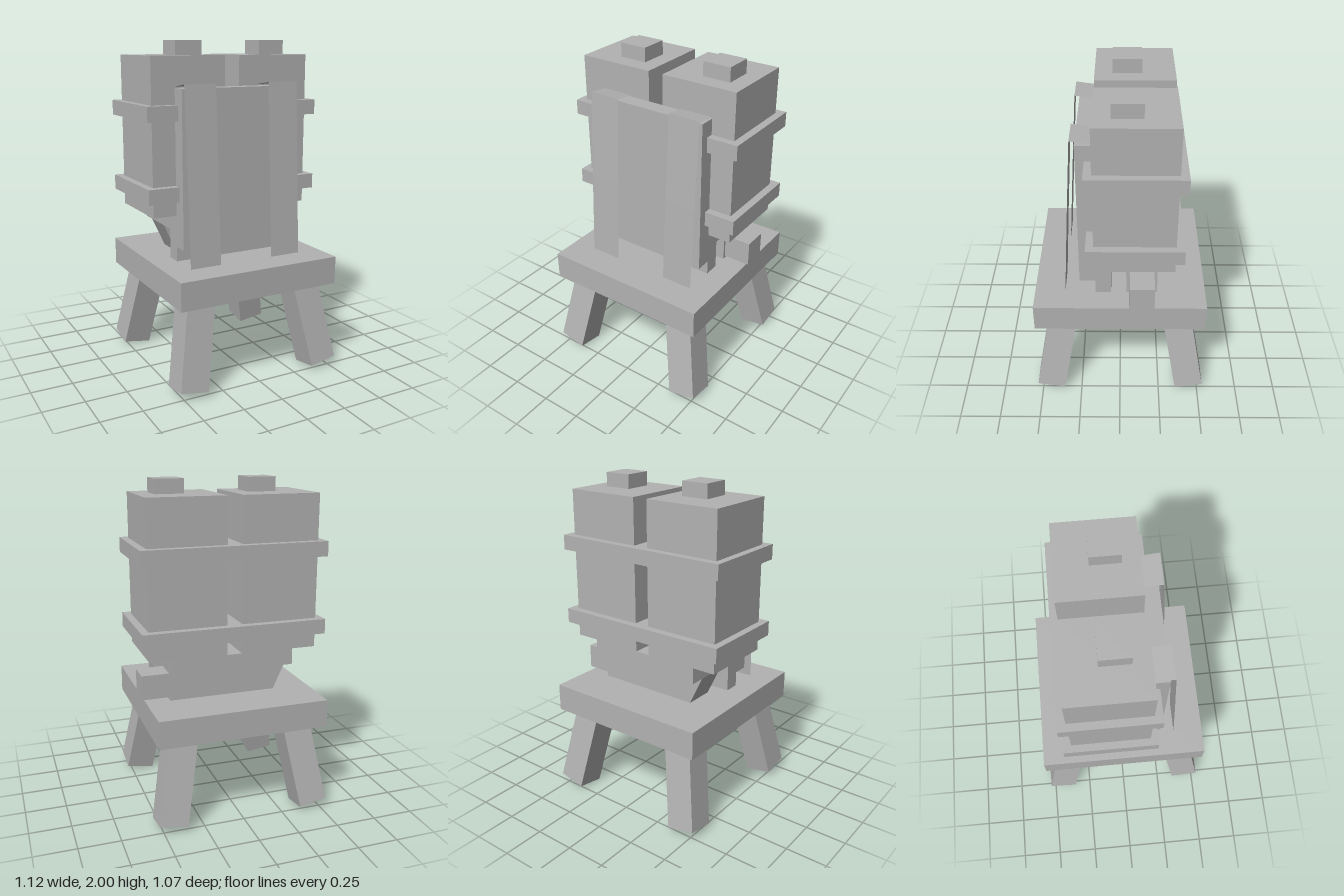
import * as THREE from 'three';

export function createModel() {
  const model = new THREE.Group();
  model.name = 'strappedTanksOnStool';

  const grey = new THREE.MeshStandardMaterial({ color: 0xb2b2b2, flatShading: true, side: THREE.DoubleSide });
  grey.name = 'plain grey';

  const add = (name, geometry) => {
    const mesh = new THREE.Mesh(geometry, grey);
    mesh.name = name;
    model.add(mesh);
    return mesh;
  };

  // Box given by its limits on each axis
  const block = (name, [x0, x1], [y0, y1], [z0, z1]) => {
    const mesh = add(name, new THREE.BoxGeometry(x1 - x0, y1 - y0, z1 - z0));
    mesh.position.set((x0 + x1) / 2, (y0 + y1) / 2, (z0 + z1) / 2);
    return mesh;
  };

  // Stool: square seat with four legs splayed both ways
  block('stoolSeat', [-0.52, 0.52], [0.54, 0.71], [-0.52, 0.52]);
  const splay = THREE.MathUtils.degToRad(10);
  for (const sx of [-1, 1]) {
    for (const sz of [-1, 1]) {
      const leg = add('stoolLeg', new THREE.BoxGeometry(0.175, 0.6, 0.175));
      leg.position.set(sx * 0.393, 0.321, sz * 0.393);
      leg.rotation.set(-sz * splay, 0, sx * splay);
    }
  }

  // Twin tanks, with caps set slightly off centre
  for (const x of [-0.283, 0.281]) {
    block('tank', [x - 0.235, x + 0.235], [0.99, 1.915], [-0.317, 0.15]);
    block('tankCap', [x - 0.038, x + 0.134], [1.915, 2.0], [-0.125, 0.047]);
  }

  // Bands around both tanks
  for (const y of [1.08, 1.55]) {
    block('tankBand', [-0.562, 0.562], [y, y + 0.09], [-0.365, 0.195]);
  }

  // Back plate and the support frame below the tanks
  block('backPlate', [-0.373, 0.373], [0.8, 1.735], [0.15, 0.245]);
  block('supportSlab', [-0.373, 0.373], [0.89, 0.99], [-0.315, 0.15]);
  block('frontFoot', [-0.373, 0.373], [0.71, 0.89], [0.055, 0.15]);
  block('valveBox', [0.37, 0.54], [0.725, 0.875], [-0.205, -0.055]);

  // Rear foot with one slanted end
  const footShape = new THREE.Shape([
    new THREE.Vector2(-0.29, 0.71), new THREE.Vector2(0.373, 0.71),
    new THREE.Vector2(0.373, 0.89), new THREE.Vector2(-0.373, 0.89),
  ]);
  const rearFoot = new THREE.ExtrudeGeometry(footShape, { depth: 0.185, bevelEnabled: false });
  add('rearFoot', rearFoot.translate(0, 0, -0.225));

  // Shoulder straps: open ribbons over the plate and down to the seat, as [y, z]
  const path = [[1.74, 0.13], [1.76, 0.272], [1.23, 0.305], [0.71, 0.335]];
  for (const x of [-0.272, 0.272]) {
    const ribbon = new THREE.PlaneGeometry(0.197, 1, 1, path.length - 1);
    const p = ribbon.attributes.position;
    for (let i = 0; i < p.count; i++) {
      const [y, z] = path[Math.floor(i / 2)];
      p.setXYZ(i, p.getX(i) + x, y, z);
    }
    const flat = ribbon.toNonIndexed();
    flat.computeVertexNormals();
    add('shoulderStrap', flat);
  }

  return model;
}
